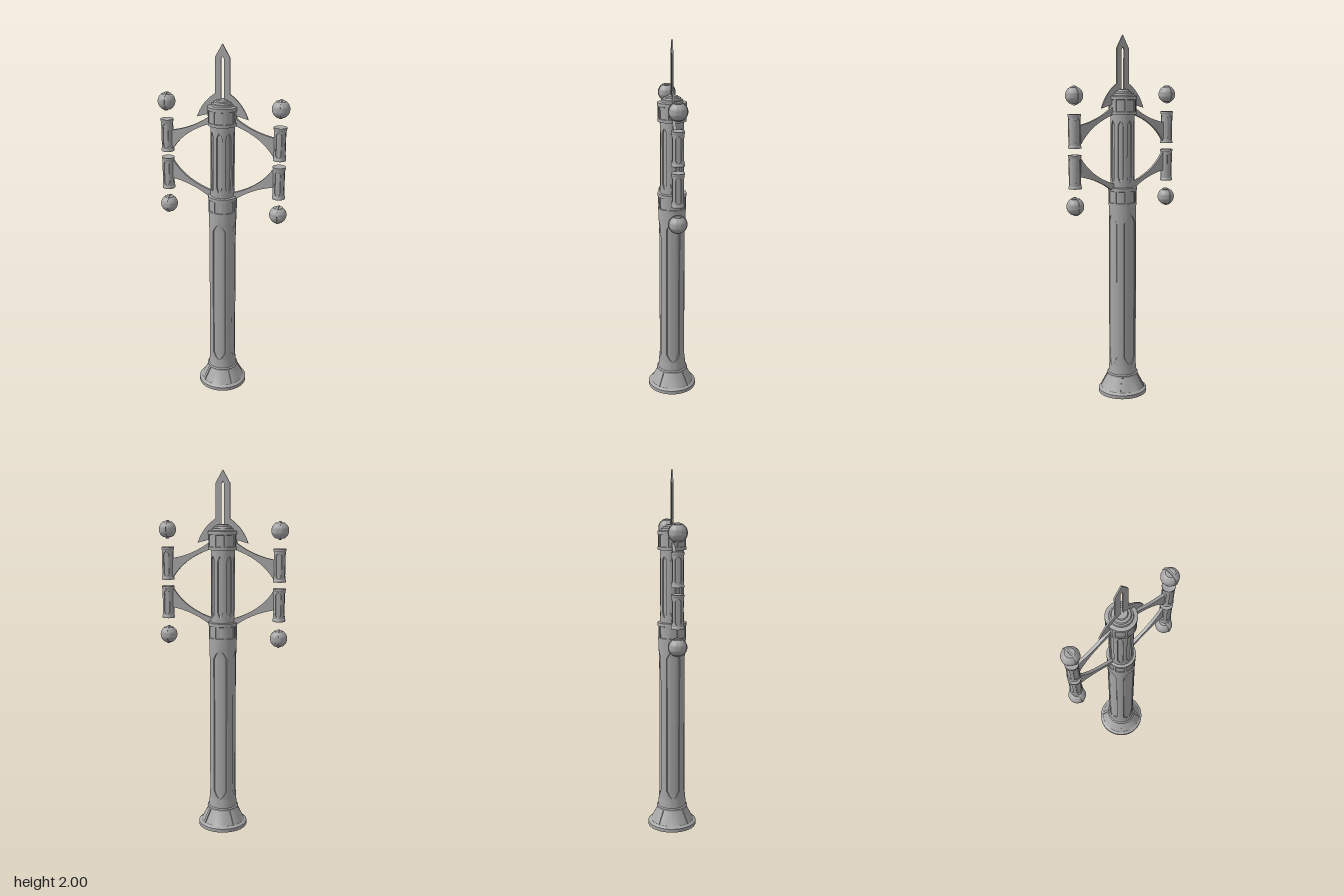
import * as THREE from 'three';
import { toCreasedNormals } from 'three/addons/utils/BufferGeometryUtils.js';

const stone = new THREE.MeshStandardMaterial({ color: 0xa6a6a6, side: THREE.DoubleSide });
stone.name = 'grey stone';

function add(parent, name, geo, x = 0, y = 0, z = 0, crease = 0.45) {
  const mesh = new THREE.Mesh(toCreasedNormals(geo, crease), stone);
  mesh.name = name;
  mesh.position.set(x, y, z);
  parent.add(mesh);
  return mesh;
}

const lathe = (pts, sides = 48) =>
  new THREE.LatheGeometry(pts.map(([r, y]) => new THREE.Vector2(r, y)), sides);

// Upright tube with recessed panels that come to a point at both ends
function panelledTube({ r, y0, y1, count, half, depth, from, to, tip, turn = 0 }) {
  const rows = [
    [y0, 0], [from, 0], [from + tip * 0.4, 0.55], [from + tip, 1],
    [to - tip, 1], [to - tip * 0.4, 0.55], [to, 0], [y1, 0],
  ];
  const sector = Math.PI * 2 / count;
  const n = Math.max(2, Math.round(20 / count));
  const pos = [], idx = [];
  let cols = 0;
  rows.forEach(([y, open]) => {
    const w = half * open;
    const ring = [];
    for (let k = 0; k < count; k++) {
      const mid = k * sector + turn;
      for (let i = 0; i <= n; i++) {
        ring.push([mid - sector / 2 + (sector / 2 - w) * i / n, r]);
      }
      for (let i = 0; i <= n; i++) {
        ring.push([mid + w * 0.92 * (2 * i / n - 1), open ? r - depth : r]);
      }
      for (let i = 0; i < n; i++) {
        ring.push([mid + w + (sector / 2 - w) * i / n, r]);
      }
    }
    ring.push([sector * (count - 0.5) + turn, r]);
    cols = ring.length;
    ring.forEach(([a, rad]) => pos.push(Math.sin(a) * rad, y, Math.cos(a) * rad));
  });
  for (let j = 0; j < rows.length - 1; j++) {
    for (let i = 0; i < cols - 1; i++) {
      const a = j * cols + i, b = a + 1, c = b + cols, d = a + cols;
      idx.push(a, b, c, a, c, d);
    }
  }
  const geo = new THREE.BufferGeometry();
  geo.setAttribute('position', new THREE.Float32BufferAttribute(pos, 3));
  geo.setIndex(idx);
  return geo;
}

// Flat plate centred on z = 0
function plate(shape, thick) {
  const geo = new THREE.ExtrudeGeometry(shape, { depth: thick, bevelEnabled: false, curveSegments: 14 });
  return geo.translate(0, 0, -thick / 2);
}

function collar(parent, name, y) {
  const group = new THREE.Group();
  group.name = name;
  group.position.y = y;
  parent.add(group);
  add(group, 'collarDrum', lathe([
    [0.06, 0], [0.077, 0], [0.077, 0.016], [0.073, 0.018], [0.073, 0.08],
    [0.079, 0.082], [0.079, 0.1], [0.058, 0.104],
  ]));
  for (let i = 0; i < 8; i++) {
    const a = (i + 0.5) * Math.PI / 4;
    const rib = add(group, 'collarRib', new THREE.BoxGeometry(0.012, 0.066, 0.008),
      Math.sin(a) * 0.0735, 0.049, Math.cos(a) * 0.0735);
    rib.rotation.y = a;
  }
}

// Upper arm, drawn on the +x side
function armShape() {
  const s = new THREE.Shape();
  s.moveTo(0.05, 1.64);
  s.lineTo(0.08, 1.615);
  s.quadraticCurveTo(0.17, 1.55, 0.285, 1.53);
  s.lineTo(0.285, 1.415);
  s.quadraticCurveTo(0.22, 1.53, 0.07, 1.58);
  s.lineTo(0.05, 1.585);
  return s;
}

function finialShape() {
  const s = new THREE.Shape();
  s.moveTo(-0.14, 1.615);
  s.quadraticCurveTo(-0.11, 1.7, -0.04, 1.745);
  s.lineTo(-0.04, 1.93);
  s.lineTo(0, 2);
  s.lineTo(0.04, 1.93);
  s.lineTo(0.04, 1.745);
  s.quadraticCurveTo(0.11, 1.7, 0.14, 1.615);
  s.lineTo(0.07, 1.635);
  s.lineTo(-0.07, 1.635);
  const slot = new THREE.Path();
  slot.moveTo(-0.008, 1.69);
  slot.lineTo(0.008, 1.69);
  slot.lineTo(0.008, 1.925);
  slot.lineTo(0, 1.94);
  slot.lineTo(-0.008, 1.925);
  s.holes.push(slot);
  return s;
}

export function createModel() {
  const model = new THREE.Group();
  model.name = 'lampColumn';

  // Flared foot, open underneath, with ribs on the diagonals
  add(model, 'foot', lathe([
    [0.13, 0], [0.137, 0], [0.137, 0.02], [0.13, 0.026], [0.122, 0.03],
    [0.084, 0.103], [0.088, 0.105], [0.088, 0.115], [0.08, 0.12], [0.0755, 0.17],
  ]));
  add(model, 'footInside', lathe([[0.07, 0.17], [0.078, 0.1], [0.13, 0]]));
  for (let i = 0; i < 4; i++) {
    const holder = new THREE.Group();
    holder.name = 'footRibHolder';
    holder.rotation.y = (i + 0.5) * Math.PI / 2;
    model.add(holder);
    const rib = add(holder, 'footRib', new THREE.BoxGeometry(0.016, 0.084, 0.008), 0, 0.066, 0.104);
    rib.rotation.x = -0.48;
  }

  // Main shaft with four tall recessed panels
  add(model, 'shaft', panelledTube({
    r: 0.0755, y0: 0.12, y1: 1.09, count: 4, half: 0.51, depth: 0.0045, from: 0.17, to: 1.04, tip: 0.05,
  }));
  collar(model, 'lowerCollar', 1.085);

  // Slim fluted upper column
  add(model, 'upperColumn', panelledTube({
    r: 0.065, y0: 1.18, y1: 1.59, count: 8, half: 0.23, depth: 0.007, from: 1.215, to: 1.55, tip: 0.03,
  }));
  collar(model, 'upperCollar', 1.58);
  add(model, 'steppedCap', lathe([
    [0.078, 1.68], [0.06, 1.683], [0.058, 1.694], [0.05, 1.696], [0.046, 1.705],
    [0.034, 1.707], [0.03, 1.714], [0, 1.716],
  ]));

  // Thin slotted spire
  add(model, 'spire', plate(finialShape(), 0.008));

  // Arms with end cylinders and floating globes, mirrored across x and about the middle height
  const middle = 1.395;
  const globe = [[0, -0.041], [0.025, -0.041]];
  for (let i = 0; i <= 12; i++) {
    const a = -1.01 + 2.02 * i / 12;
    globe.push([Math.cos(a) * 0.047, Math.sin(a) * 0.047]);
  }
  globe.push([0.025, 0.041], [0, 0.041]);

  for (const turn of [0, Math.PI]) {
    for (const flip of [0, Math.PI]) {
      const arm = new THREE.Group();
      arm.name = 'armAssembly';
      arm.position.y = middle;
      arm.rotation.set(flip, turn, 0);
      model.add(arm);
      add(arm, 'arm', plate(armShape(), 0.016), 0, -middle, 0);

      const post = new THREE.Group();
      post.name = 'armEnd';
      post.position.set(0.31, -middle, 0);
      arm.add(post);
      add(post, 'endCylinder', panelledTube({
        r: 0.0325, y0: 1.42, y1: 1.58, count: 4, half: 0.5, depth: 0.003, from: 1.43, to: 1.57, tip: 0.015,
      }));
      add(post, 'lowerLip', lathe([[0, 1.42], [0.028, 1.413], [0.035, 1.413], [0.035, 1.422], [0.031, 1.43]], 24));
      add(post, 'upperLip', lathe([[0.031, 1.572], [0.035, 1.58], [0.035, 1.59], [0.028, 1.59], [0, 1.58]], 24));
      add(post, 'globe', lathe(globe, 32), 0, 1.685, 0);
      const band = new THREE.CylinderGeometry(0.05, 0.05, 0.01, 32).rotateZ(Math.PI / 2);
      add(post, 'globeBand', band, 0, 1.685, 0);
    }
  }
  return model;
}
